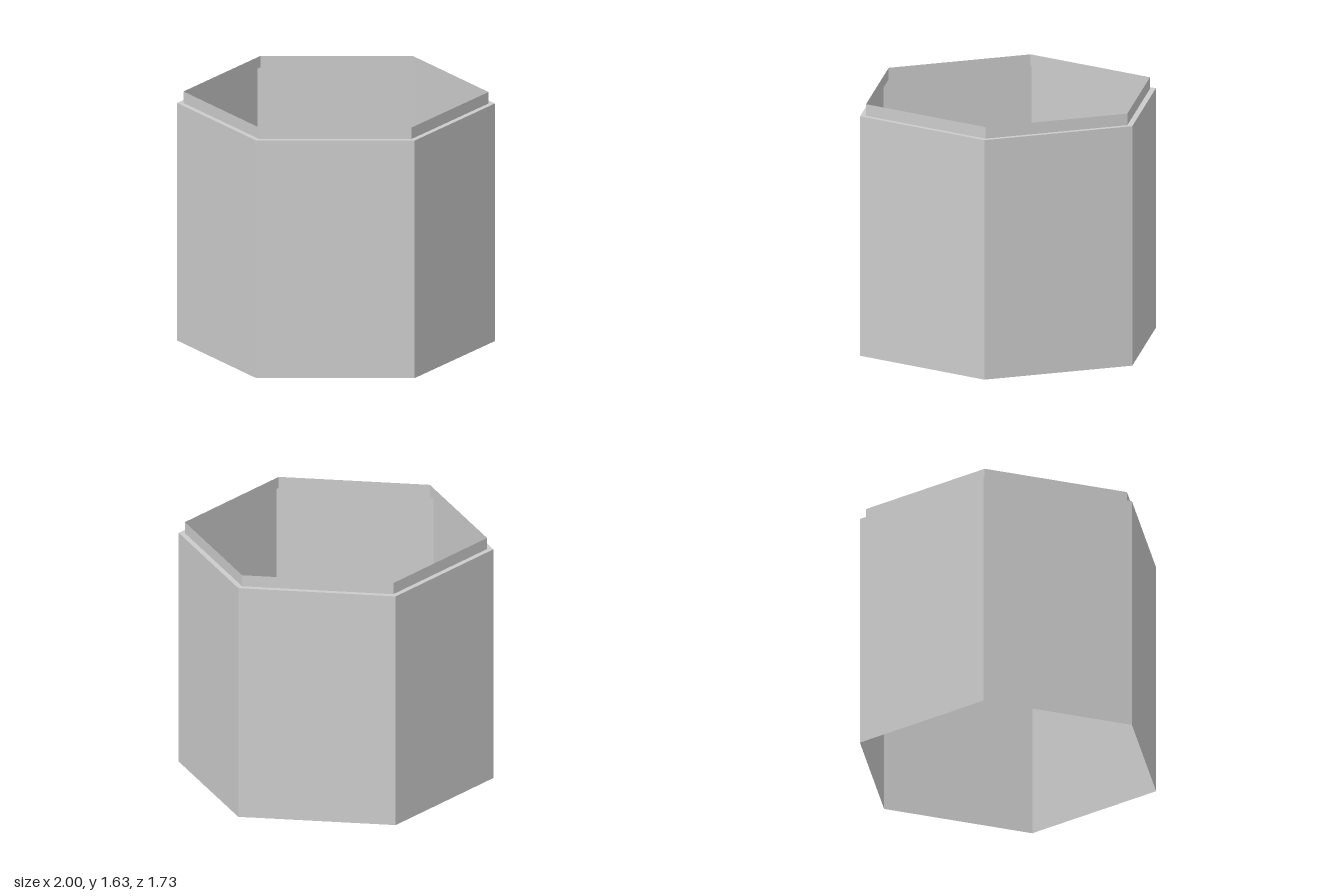
import * as THREE from 'three';

const OUTER = 1, INNER = 0.96;
const SHOULDER = 1.553, TOP = 1.628;

export function createModel() {
  const group = new THREE.Group();
  group.name = 'hexagonalSleeve';
  const material = new THREE.MeshStandardMaterial({
    color: 0xcccccc, flatShading: true, side: THREE.DoubleSide,
  });

  // Sweeps a [radius, height] profile around six sides, with corners on the x axis
  const addHexBand = (name, profile) => {
    const points = profile.map(([r, y]) => new THREE.Vector2(r, y));
    const mesh = new THREE.Mesh(new THREE.LatheGeometry(points, 6, Math.PI / 2), material);
    mesh.name = name;
    group.add(mesh);
  };

  // Thin walls, open at the top and bottom
  addHexBand('outerWall', [[OUTER, 0], [OUTER, SHOULDER]]);
  // Narrow step joining the wall to the lip
  addHexBand('shoulder', [[OUTER, SHOULDER], [INNER, SHOULDER]]);
  // Inset rim
  addHexBand('lip', [[INNER, SHOULDER], [INNER, TOP]]);

  return group;
}
